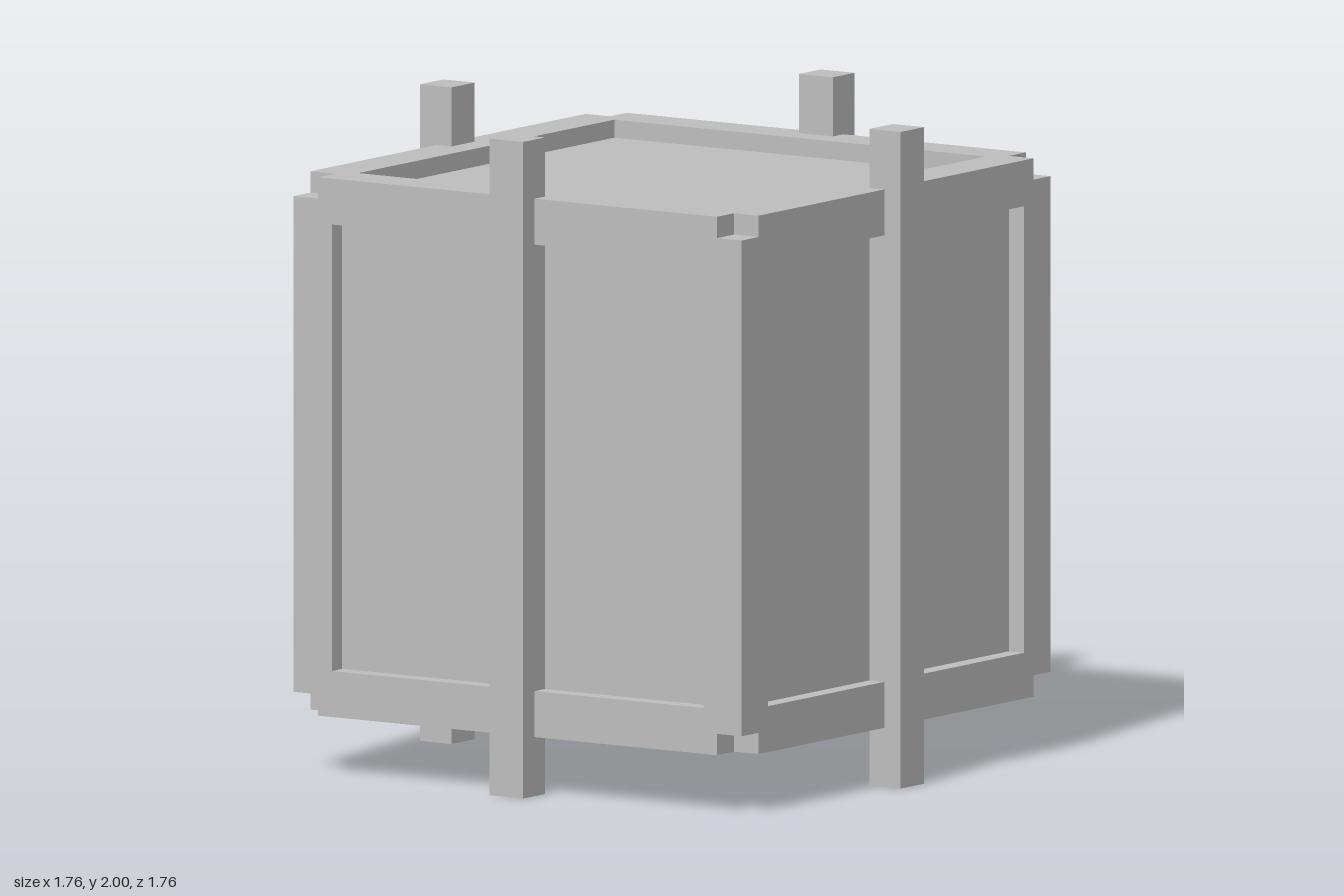
import * as THREE from 'three';

const OUT = 0.82;    // half size of the crate
const IN = 0.68;     // half size of the panel openings
const PANEL = 0.765; // distance of the recessed panels from the centre
const CUT = 0.73;    // inner edge of the corner notches
const STEP = 0.755;  // height where the corner notches begin

export function createModel() {
  const model = new THREE.Group();
  model.name = 'crate';
  const body = new THREE.Group();
  body.name = 'crateBody';
  body.position.y = 1;
  model.add(body);
  const grey = new THREE.MeshStandardMaterial({ color: 0xbfbfbf });
  grey.name = 'plainGrey';

  const add = (name, geometry, x = 0, y = 0, z = 0) => {
    const mesh = new THREE.Mesh(geometry, grey);
    mesh.name = name;
    mesh.position.set(x, y, z);
    body.add(mesh);
    return mesh;
  };
  const box = (name, w, h, d, x, y, z) => add(name, new THREE.BoxGeometry(w, h, d), x, y, z);

  // Recessed panels: one block per axis
  const p = PANEL * 2, s = 1.4;
  box('sidePanels', p, s, s);
  box('topAndBottomPanels', s, p, s);
  box('frontAndBackPanels', s, s, p);

  // Top and bottom frames with notched corners and a square opening
  const outline = [];
  for (const [x, y] of [[1, 1], [-1, 1], [-1, -1], [1, -1]]) {
    const corner = [[OUT, CUT], [CUT, CUT], [CUT, OUT]].map(([a, b]) => new THREE.Vector2(a * x, b * y));
    outline.push(...(x * y > 0 ? corner : corner.reverse()));
  }
  const ring = new THREE.Shape(outline);
  ring.holes.push(new THREE.Path([[-IN, -IN], [-IN, IN], [IN, IN], [IN, -IN]].map(q => new THREE.Vector2(...q))));
  const frame = new THREE.ExtrudeGeometry(ring, { depth: OUT - STEP, bevelEnabled: false });
  frame.rotateX(-Math.PI / 2);
  add('topFrame', frame, 0, STEP, 0);
  add('bottomFrame', frame, 0, -OUT, 0);

  // Vertical corner beams
  const beam = OUT - IN, mid = (OUT + IN) / 2;
  for (const x of [-1, 1]) for (const z of [-1, 1]) {
    box('cornerBeam', beam, STEP * 2, beam, x * mid, 0, z * mid);
  }

  // Horizontal rails and the tall posts, on each of the four sides
  for (const side of [-1, 1]) {
    for (const level of [-1, 1]) {
      const y = level * (IN + STEP) / 2;
      box('rail', IN * 2, STEP - IN, beam, 0, y, side * mid);
      box('rail', beam, STEP - IN, IN * 2, side * mid, y, 0);
    }
    const reach = (0.88 + PANEL) / 2, depth = 0.88 - PANEL;
    box('post', 0.124, 2, depth, 0, 0, side * reach);
    box('post', depth, 2, 0.124, side * reach, 0, 0);
  }
  return model;
}
